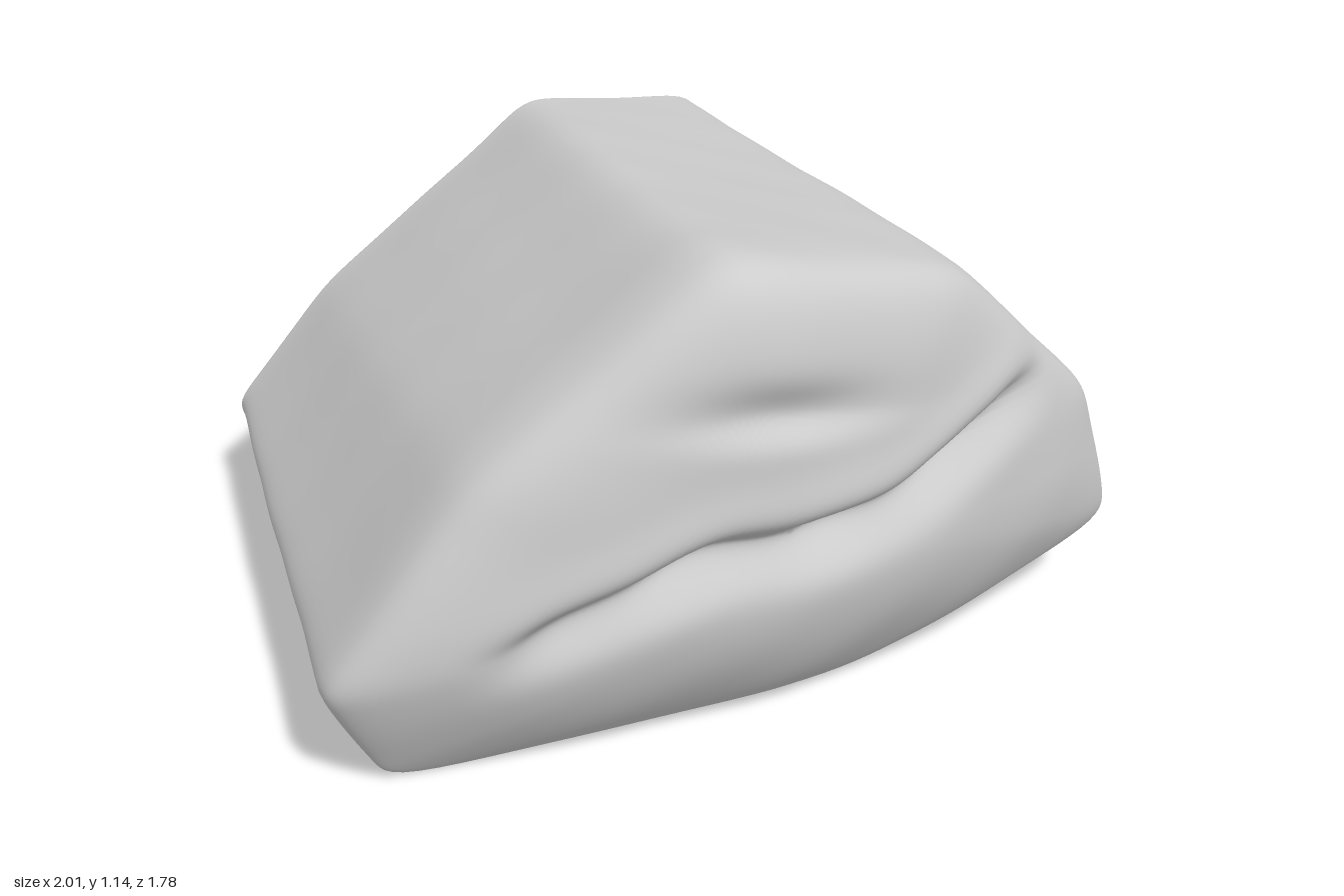
import * as THREE from 'three';

// Matching corners of the front and back cross-sections, anticlockwise seen from the front
const FRONT = [[-0.87, 0.0], [0.23, 0.01], [1.02, 0.2], [0.875, 0.605], [0.46, 1.015], [-0.15, 1.155], [-0.7, 0.735], [-1.02, 0.28]];
const BACK = [[-0.76, 0.035], [0.12, 0.05], [0.785, 0.315], [0.645, 0.63], [0.435, 0.96], [-0.06, 1.04], [-0.6, 0.58], [-0.87, 0.265]];
// Path of the long crack across the front
const CRACK = [[-1.1, 0.3], [-0.72, 0.35], [-0.55, 0.4], [-0.4, 0.445], [-0.2, 0.51], [0, 0.51], [0.2, 0.525], [0.35, 0.575], [0.5, 0.64], [0.66, 0.7], [1.1, 0.8]];
const PER_EDGE = 22, CAP_RINGS = 64, BODY_RINGS = 24;
const CENTRE = [0, 0.5];

const { lerp, smoothstep } = THREE.MathUtils;
const gauss = (v, w) => Math.exp(-(v * v) / (w * w));
// Ramp that rises for positive values, rounded near zero
const softRamp = (v) => (v + Math.sqrt(v * v + 0.01)) / 2;

// Sample a polygon evenly per edge, then soften its corners
function outline(corners, passes) {
  let pts = [];
  corners.forEach((a, i) => {
    const b = corners[(i + 1) % corners.length];
    for (let k = 0; k < PER_EDGE; k++) pts.push([lerp(a[0], b[0], k / PER_EDGE), lerp(a[1], b[1], k / PER_EDGE)]);
  });
  for (let n = 0; n < passes; n++) {
    pts = pts.map((p, i) => {
      const a = pts[(i + pts.length - 1) % pts.length], b = pts[(i + 1) % pts.length];
      return [0, 1].map((c) => p[c] / 2 + (a[c] + b[c]) / 4);
    });
  }
  return pts;
}

const crackCurve = new THREE.SplineCurve(CRACK.map(([x, y]) => new THREE.Vector2(x, y))).getPoints(60);
function crackY(x) {
  const i = Math.max(1, crackCurve.findIndex((p) => p.x >= x));
  const a = crackCurve[i - 1], b = crackCurve[i];
  return lerp(a.y, b.y, (x - a.x) / (b.x - a.x));
}

// Front face: broad curve, rounded chin, crack under an overhanging lip, and a shallow dent
function frontFace(x, y) {
  let z = 0.895 - 0.17 * softRamp(x) - 0.08 * x * x - 0.85 * Math.max(0, 0.45 - y) ** 2;
  const d = y - crackY(x);
  const reach = smoothstep(x, -0.78, -0.4) * (1 - smoothstep(x, 0.54, 0.74));
  const depth = 0.075 + 0.012 * Math.sin(19 * x);
  z -= reach * depth * (d > 0 ? gauss(d, 0.042) : gauss(d, 0.075));
  z += reach * 0.012 * gauss(d - 0.09, 0.06);
  const dentD = y - 0.81 + 0.1 * (x + 0.05);
  z -= 0.045 * gauss(x + 0.05, 0.22) * (dentD > 0 ? gauss(dentD, 0.07) : gauss(dentD, 0.04));
  return z;
}

const frontRim = (x) => 0.64 - 0.14 * Math.max(0, x) ** 2;
const backFace = (x, y) => -0.79 + 0.08 * smoothstep(y, 0.4, 1.05) - 0.14 * softRamp(x);

// Gentle weathered unevenness
const wobble = (x, y, z) =>
  0.005 * Math.sin(5 * x + 2 * z + 1) * Math.sin(5 * y - 4 * z) + 0.002 * Math.sin(13 * x - 7 * z) * Math.sin(11 * y + 9 * z);

function rockGeometry() {
  const front = outline(FRONT, 7), back = outline(BACK, 6), count = front.length;
  const rings = [];
  const inset = (p, s) => [lerp(CENTRE[0], p[0], s), lerp(CENTRE[1], p[1], s)];
  const ringScale = (k) => Math.sin((Math.PI / 2) * (k / CAP_RINGS));
  const bulge = (s, p) => Math.pow(Math.max(0, 1 - Math.pow(s, p)), 1 / p);

  // Back cap, from the middle outwards
  for (let k = 0; k < CAP_RINGS; k++) {
    const s = ringScale(k);
    rings.push(back.map((p) => {
      const [x, y] = inset(p, s);
      return [x, y, backFace(x, y) + 0.06 * (1 - bulge(s, 7))];
    }));
  }
  // Sides, from the back rim to the front rim
  for (let k = 0; k <= BODY_RINGS; k++) {
    const t = k / BODY_RINGS;
    rings.push(back.map((b, j) => {
      const f = front[j];
      return [lerp(b[0], f[0], t), lerp(b[1], f[1], t), lerp(backFace(b[0], b[1]) + 0.06, frontRim(f[0]), t)];
    }));
  }
  // Front cap, from the rim inwards
  for (let k = CAP_RINGS - 1; k >= 0; k--) {
    const s = ringScale(k);
    rings.push(front.map((p) => {
      const [x, y] = inset(p, s), rim = frontRim(p[0]);
      return [x, y, rim + (frontFace(x, y) - rim) * bulge(s, 4)];
    }));
  }

  const positions = [], index = [];
  const last = rings.length - 1;
  const put = ([x, y, z]) => {
    const w = wobble(x, y, z);
    positions.push(x * (1 + w), Math.max(0, y + w * (y - CENTRE[1]) * 2), z * (1 + w));
  };
  // The first and last rings are single points
  put(rings[0][0]);
  for (let i = 1; i < last; i++) rings[i].forEach(put);
  put(rings[last][0]);
  const id = (i, j) => (i === 0 ? 0 : i === last ? 1 + (last - 1) * count : 1 + (i - 1) * count + (j % count));
  for (let i = 0; i < last; i++) {
    for (let j = 0; j < count; j++) {
      const a = id(i, j), b = id(i, j + 1), c = id(i + 1, j + 1), d = id(i + 1, j);
      if (i > 0) index.push(a, b, c);
      if (i < last - 1) index.push(a, c, d);
    }
  }
  const geometry = new THREE.BufferGeometry();
  geometry.setAttribute('position', new THREE.Float32BufferAttribute(positions, 3));
  geometry.setIndex(index);
  geometry.computeVertexNormals();
  return geometry;
}

export function createModel() {
  const stone = new THREE.MeshStandardMaterial({ color: 0xcccccc });
  stone.name = 'grey stone';
  const rock = new THREE.Mesh(rockGeometry(), stone);
  rock.name = 'rock';
  const group = new THREE.Group();
  group.name = 'boulder';
  group.add(rock);
  return group;
}
